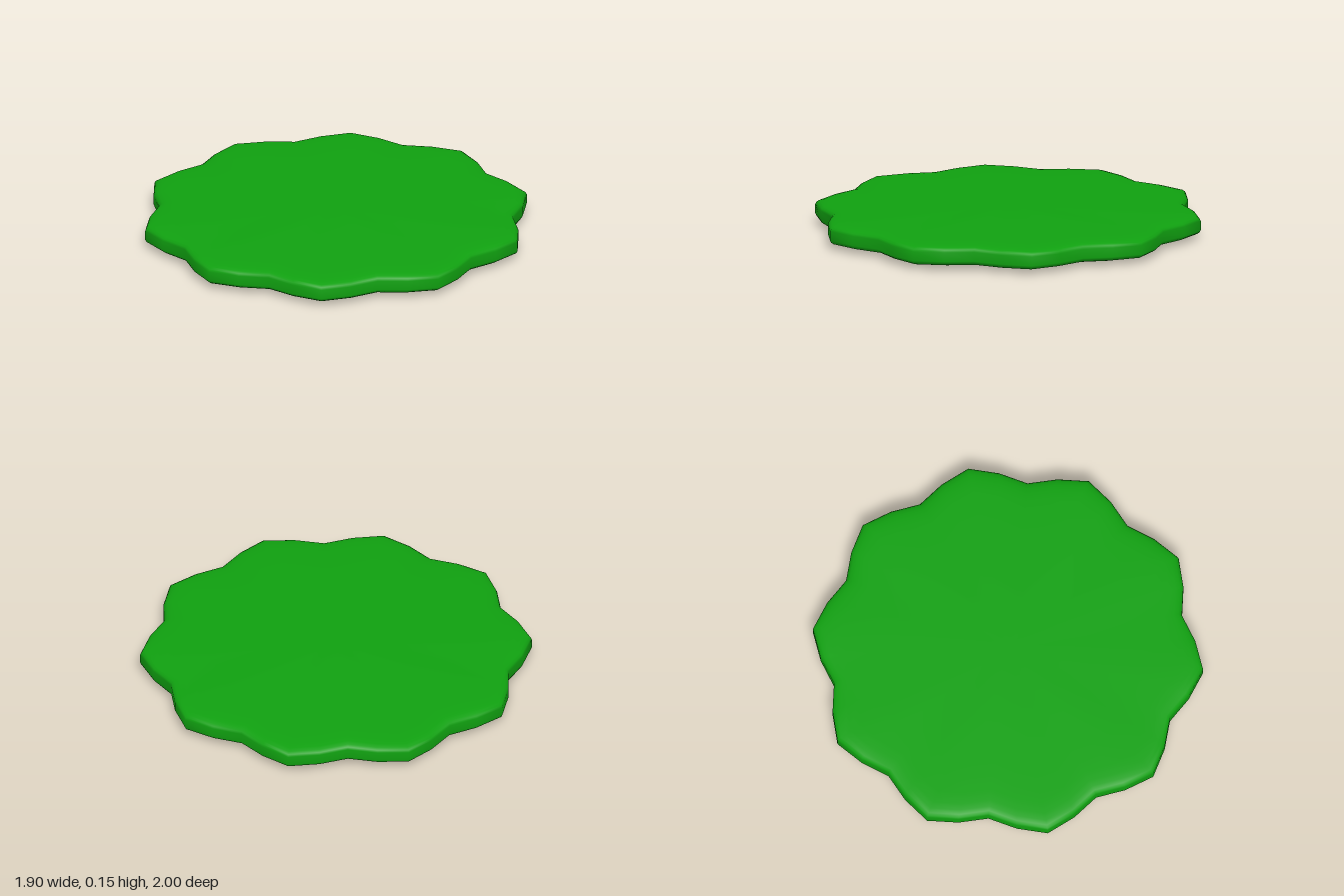
import * as THREE from 'three';
import { mergeVertices } from 'three/addons/utils/BufferGeometryUtils.js';

const POINTS = 10;                              // tips around the rim
const RADII = [1, 0.955, 0.905, 0.955];         // tip, flank, valley, flank
const SEGMENTS = POINTS * RADII.length;

export function createModel() {
  const group = new THREE.Group();
  group.name = 'scallopedDisc';

  // Upper half of the cross-section: rim to centre, height above mid-plane
  const upper = [
    [1, 0.024], [0.994, 0.036], [0.98, 0.045], [0.955, 0.051], [0.92, 0.055],
    [0.86, 0.059], [0.7, 0.064], [0.45, 0.069], [0.2, 0.072], [0, 0.073],
  ];
  const mid = 0.075;
  const profile = [
    ...upper.map(([r, h]) => new THREE.Vector2(r, mid - h)).reverse(),
    ...upper.map(([r, h]) => new THREE.Vector2(r, mid + h)),
  ];

  // Revolve, then push each column in or out to form the scalloped outline
  let geo = new THREE.LatheGeometry(profile, SEGMENTS);
  const pos = geo.attributes.position;
  for (let i = 0; i < pos.count; i++) {
    const column = Math.floor(i / profile.length);
    const s = RADII[column % RADII.length];
    pos.setX(i, pos.getX(i) * s);
    pos.setZ(i, pos.getZ(i) * s);
  }

  // Weld the seam and poles so shading is smooth all round
  geo.deleteAttribute('normal');
  geo.deleteAttribute('uv');
  geo = mergeVertices(geo, 1e-4);
  geo.computeVertexNormals();

  const disc = new THREE.Mesh(geo, new THREE.MeshStandardMaterial({ color: 0x10a010 }));
  disc.name = 'disc';
  group.add(disc);
  return group;
}
